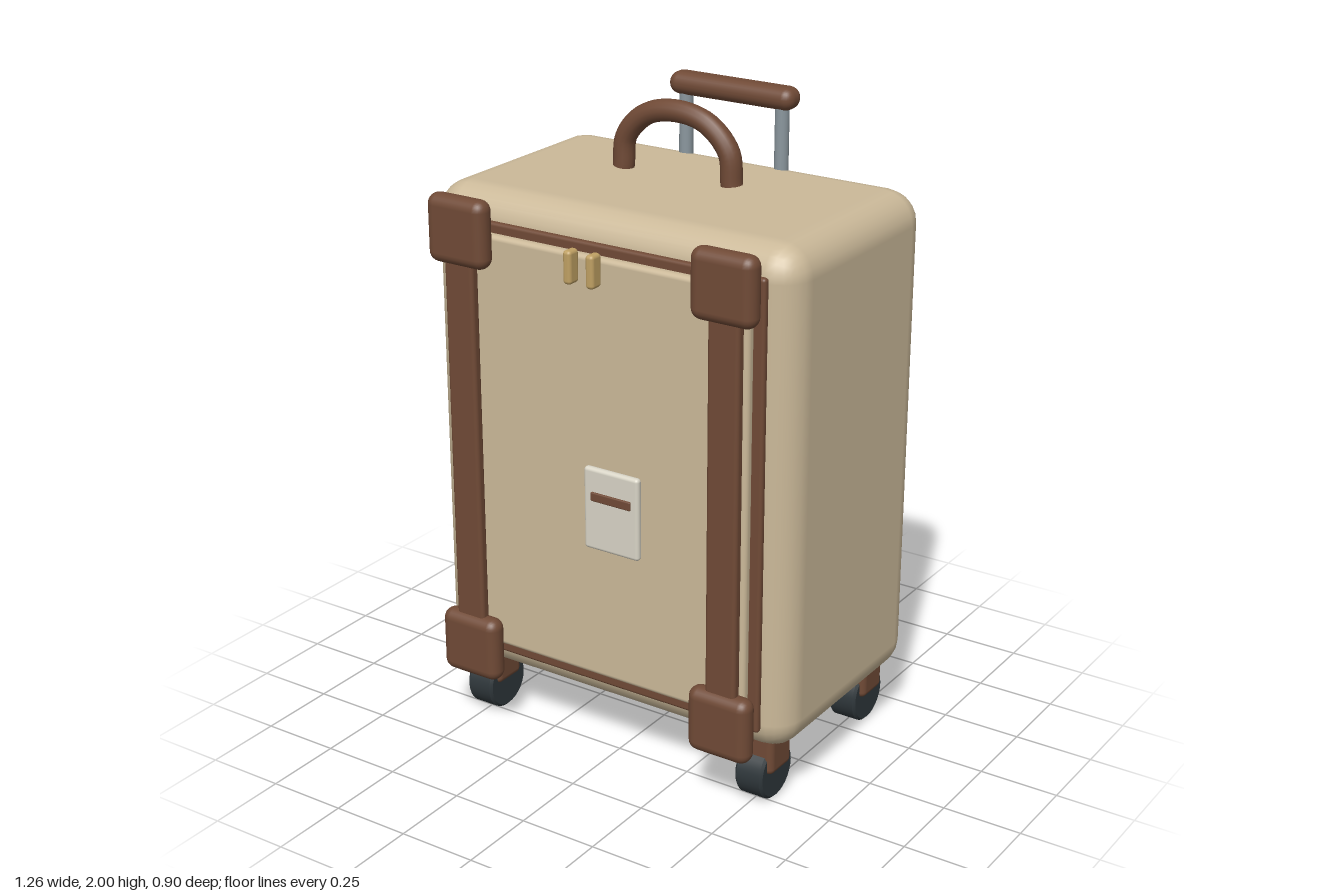
import * as THREE from 'three';
import { RoundedBoxGeometry } from 'three/addons/geometries/RoundedBoxGeometry.js';
import { toCreasedNormals } from 'three/addons/utils/BufferGeometryUtils.js';

const paint = (color) => new THREE.MeshStandardMaterial({ color });
const FABRIC = paint(0xcbb999);
const LEATHER = paint(0x704a36);
const STEEL = paint(0x8b979e);
const RUBBER = paint(0x2f373b);
const BRASS = paint(0xbfa063);
const TAG = paint(0xd8d4c6);

export function createModel() {
  const model = new THREE.Group();
  model.name = 'suitcase';

  const add = (name, geometry, material, x = 0, y = 0, z = 0) => {
    const mesh = new THREE.Mesh(geometry, material);
    mesh.name = name;
    mesh.position.set(x, y, z);
    model.add(mesh);
    return mesh;
  };

  // Rounded block given by its extents along each axis
  const block = (name, material, [x0, x1], [y0, y1], [z0, z1], radius, segments = 3) =>
    add(name, new RoundedBoxGeometry(x1 - x0, y1 - y0, z1 - z0, segments, radius), material,
      (x0 + x1) / 2, (y0 + y1) / 2, (z0 + z1) / 2);

  // Main shell and layered front pocket
  block('body', FABRIC, [-0.632, 0.632], [0.19, 1.75], [-0.45, 0.318], 0.1);
  block('pocketTrim', LEATHER, [-0.55, 0.55], [0.27, 1.67], [0.312, 0.336], 0.01);
  block('pocketPanel', FABRIC, [-0.516, 0.516], [0.31, 1.64], [0.325, 0.362], 0.015);

  // Tapered-edge wheel profile, turned about the axle
  const r = 0.09, w = 0.0475, bevel = 0.008;
  const wheelProfile = [[0, -w], [r - bevel, -w], [r, bevel - w], [r, w - bevel], [r - bevel, w], [0, w]]
    .map(([a, b]) => new THREE.Vector2(a, b));
  const wheelGeometry = toCreasedNormals(new THREE.LatheGeometry(wheelProfile, 28), 0.6);
  wheelGeometry.rotateZ(Math.PI / 2);

  for (const [side, s] of [['right', -1], ['left', 1]]) {
    // Straps and corner guards
    const span = (a, b) => (s > 0 ? [a, b] : [-b, -a]);
    block(`${side}Strap`, LEATHER, span(0.405, 0.508), [0.28, 1.66], [0.366, 0.4], 0.012);
    block(`${side}TopCornerGuard`, LEATHER, span(0.35, 0.56), [1.54, 1.75], [0.35, 0.42], 0.034);
    block(`${side}BottomCornerGuard`, LEATHER, span(0.35, 0.56), [0.195, 0.405], [0.35, 0.42], 0.034);

    // Casters
    for (const [end, z] of [['Front', 0.22], ['Back', -0.342]]) {
      block(`${side}${end}WheelHousing`, LEATHER, span(0.445, 0.567), [0.1, 0.24], [z - 0.059, z + 0.059], 0.02);
      add(`${side}${end}Wheel`, wheelGeometry, RUBBER, s * 0.503, 0.092, z);
    }

    // Telescopic rods
    add(`${side}TrolleyRod`, new THREE.CylinderGeometry(0.022, 0.022, 0.25, 16), STEEL, s * 0.17, 1.835, -0.378);
  }

  // Trolley grip
  block('trolleyGrip', LEATHER, [-0.219, 0.219], [1.93, 2], [-0.422, -0.338], 0.034);

  // Arched carry handle with closed ends
  const path = new THREE.CatmullRomCurve3(
    [[-0.189, 1.775], [-0.178, 1.87], [-0.105, 1.944], [0, 1.967], [0.105, 1.944], [0.178, 1.87], [0.189, 1.775]]
      .map(([x, y]) => new THREE.Vector3(x, y, 0)));
  const handle = add('carryHandle', new THREE.TubeGeometry(path, 40, 0.033, 14), LEATHER, 0, 0, -0.068);
  for (const t of [0, 1]) {
    const cap = new THREE.Mesh(new THREE.CircleGeometry(0.033, 14), LEATHER);
    cap.name = 'carryHandleEnd';
    const outward = path.getTangent(t).multiplyScalar(t ? 1 : -1);
    cap.quaternion.setFromUnitVectors(new THREE.Vector3(0, 0, 1), outward);
    cap.position.copy(path.getPoint(t));
    handle.add(cap);
  }

  // Zipper pulls
  for (const x of [-0.041, 0.036]) {
    block('zipperPull', BRASS, [x - 0.014, x + 0.014], [1.57, 1.67], [0.388, 0.434], 0.011);
  }

  // Luggage tag with a leather strip
  block('luggageTag', TAG, [0.012, 0.202], [0.775, 1.033], [0.416, 0.44], 0.011);
  block('tagStrip', LEATHER, [0.04, 0.178], [0.932, 0.96], [0.43, 0.446], 0.004);

  return model;
}
